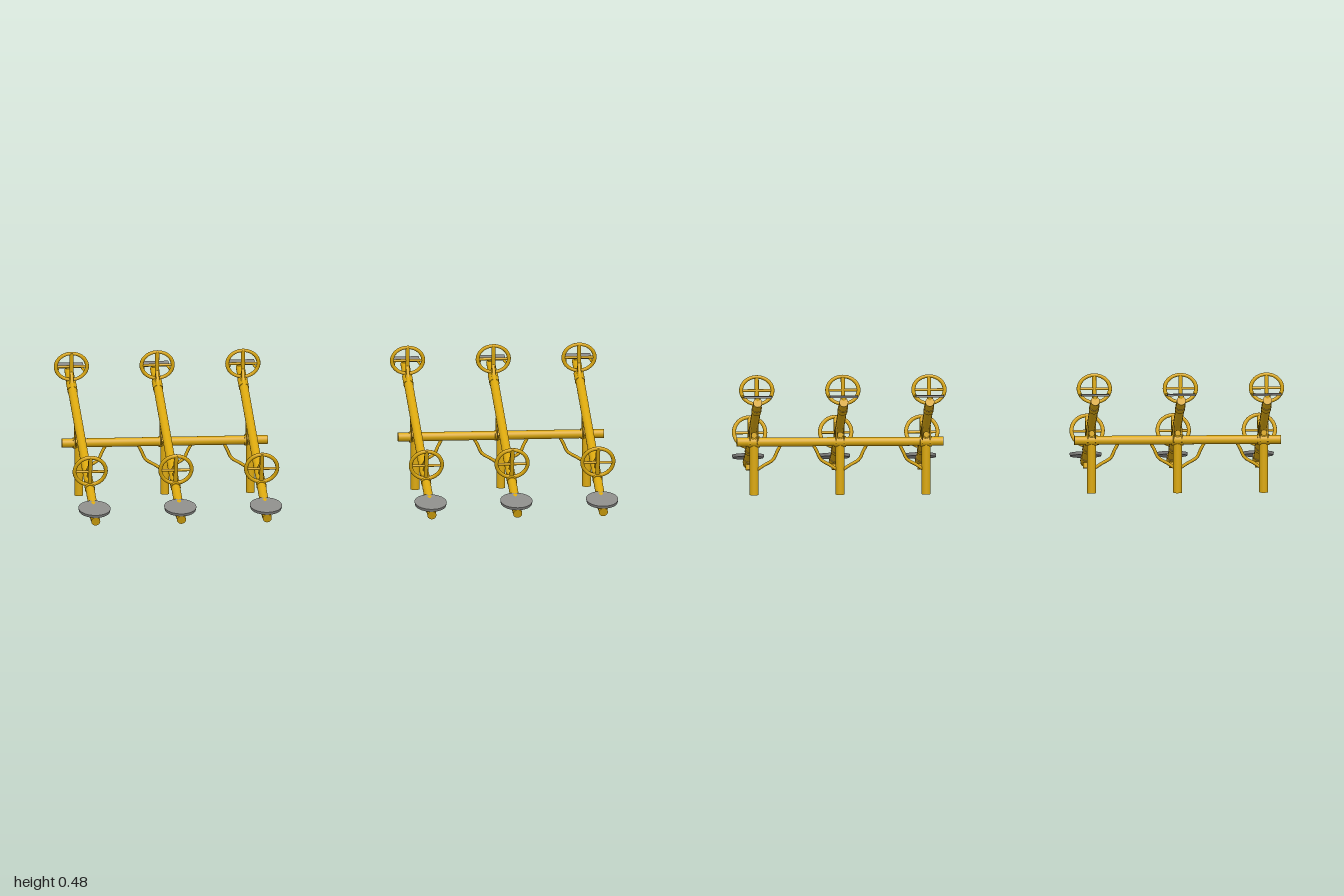
import * as THREE from 'three';

const yellow = new THREE.MeshStandardMaterial({ color: 0xdba80e });
yellow.name = 'yellow paint';
const grey = new THREE.MeshStandardMaterial({ color: 0x8b8b88 });
grey.name = 'grey seat';

const V = (x, y, z) => new THREE.Vector3(x, y, z);

function add(parent, name, geometry, material = yellow) {
  const mesh = new THREE.Mesh(geometry, material);
  mesh.name = name;
  parent.add(mesh);
  return mesh;
}

// Round bar between two points
function rod(parent, name, a, b, r, r2 = r) {
  const dir = b.clone().sub(a);
  const mesh = add(parent, name, new THREE.CylinderGeometry(r2, r, dir.length(), 20));
  mesh.position.copy(a).add(b).multiplyScalar(0.5);
  mesh.quaternion.setFromUnitVectors(V(0, 1, 0), dir.normalize());
  return mesh;
}

// Bent bar through several points
function bentRod(parent, name, points, r) {
  const curve = new THREE.CatmullRomCurve3(points);
  return add(parent, name, new THREE.TubeGeometry(curve, 20, r, 8));
}

const pivotZ = -0.13;
const tilt = Math.atan2(0.375, 1.02);
const beamY = z => 0.02 + (0.51 - z) * 0.375 / 1.02;
const onBeam = z => V(0, beamY(z), z);

// Oval hand ring, leaning in the z direction
function handRing(parent, y, z, rx, ry, lean) {
  const ring = new THREE.Group();
  ring.name = 'handRing';
  const hoop = add(ring, 'hoop', new THREE.TorusGeometry(1, 0.125, 10, 40));
  hoop.scale.set(rx, ry, 0.06);
  ring.position.set(0, y, z);
  ring.rotation.x = lean;
  parent.add(ring);
  return ring;
}

function seesaw() {
  const g = new THREE.Group();
  g.name = 'seesaw';
  rod(g, 'beam', onBeam(0.505), onBeam(-0.508), 0.0165);

  // Pivot saddle under the beam
  for (const s of [-1, 1]) {
    const shape = new THREE.Shape();
    shape.moveTo(0.055, 0.205);
    shape.lineTo(0.02, 0.245);
    shape.lineTo(-0.02, 0.258);
    shape.lineTo(-0.025, 0.19);
    shape.lineTo(0.015, 0.18);
    const plate = add(g, 'saddlePlate',
      new THREE.ExtrudeGeometry(shape, { depth: 0.005, bevelEnabled: false }));
    plate.rotation.y = -Math.PI / 2;
    plate.position.set(s * 0.014 + 0.0025, 0, pivotZ);
  }
  rod(g, 'pivotCollar', V(-0.022, 0.195, pivotZ), V(0.022, 0.195, pivotZ), 0.02);
  rod(g, 'stopBar', V(0, 0.22, -0.13), V(0, 0.225, -0.165), 0.011);
  rod(g, 'frontStop', V(0, 0.21, -0.13), V(0, 0.215, -0.085), 0.01);

  // Lower end: ring with cross, struts, round seat
  handRing(g, 0.17, 0.295, 0.0575, 0.056, 0.32);
  rod(g, 'gripBar', V(-0.056, 0.168, 0.295), V(0.056, 0.168, 0.295), 0.005);
  rod(g, 'gripStem', V(0, 0.1, 0.271), V(0, 0.226, 0.314), 0.0075);
  rod(g, 'gripStrut', V(0, 0.205, 0.285), V(0, 0.135, 0.232), 0.0065);
  rod(g, 'gripBrace', V(0, 0.176, 0.262), V(0, 0.143, 0.18), 0.0075, 0.009);
  rod(g, 'lowerSleeve', onBeam(0.29), onBeam(0.25), 0.0185);
  const seat = add(g, 'roundSeat', new THREE.CylinderGeometry(0.059, 0.057, 0.011, 36), grey);
  seat.scale.z = 1.1;
  seat.position.set(0, 0.058, 0.455);
  seat.rotation.x = 0.25;
  rod(g, 'seatSleeve', onBeam(0.47), onBeam(0.4), 0.019);
  rod(g, 'bumper', V(0, 0.04, 0.432), V(0, 0.012, 0.425), 0.011);

  // Raised end: ring with cross, gusset, square seat on side bars
  handRing(g, 0.426, -0.412, 0.0575, 0.05, 0.12);
  rod(g, 'gripStem', V(0, 0.35, -0.418), V(0, 0.477, -0.405), 0.0075);
  rod(g, 'gripBar', V(-0.056, 0.426, -0.412), V(0.056, 0.426, -0.412), 0.005);
  rod(g, 'gripStrut', V(0, 0.41, -0.415), V(0, 0.345, -0.37), 0.0065);
  rod(g, 'gripBrace', V(0, 0.372, -0.4), V(0, 0.335, -0.335), 0.009);
  rod(g, 'upperSleeve', onBeam(-0.37), onBeam(-0.425), 0.0185);
  const back = add(g, 'squareSeat', new THREE.BoxGeometry(0.103, 0.007, 0.05), grey);
  back.position.set(0, 0.414, -0.499);
  back.rotation.x = 0.1;
  rod(g, 'seatPost', onBeam(-0.495), V(0, 0.412, -0.495), 0.011);
  for (const s of [-1, 1]) {
    rod(g, 'seatSideBar', V(s * 0.052, 0.404, -0.414), V(s * 0.042, 0.412, -0.485), 0.0045);
  }
  return g;
}

const spacing = 0.315;

function seesawSet() {
  const g = new THREE.Group();
  g.name = 'seesawSet';
  rod(g, 'crossbar', V(-0.378, 0.195, pivotZ), V(0.378, 0.195, pivotZ), 0.0165);
  for (const i of [-1, 0, 1]) {
    const x = i * spacing;
    const saw = seesaw();
    saw.position.x = x;
    g.add(saw);
    rod(g, 'post', V(x, 0, pivotZ), V(x, 0.215, pivotZ), 0.016);
    // Curved braces from post to crossbar
    for (const s of [-1, 1]) {
      if (s === i) continue;
      const pts = [[0.008, 0.09], [0.035, 0.108], [0.07, 0.13], [0.085, 0.16], [0.1, 0.188]];
      bentRod(g, 'postBrace', pts.map(([dx, y]) => V(x + s * dx, y, pivotZ)), 0.006);
    }
  }
  return g;
}

export function createModel() {
  const model = new THREE.Group();
  model.name = 'seesaws';
  for (const s of [-1, 1]) {
    const set = seesawSet();
    set.position.x = s * 0.6175;
    model.add(set);
  }
  return model;
}
